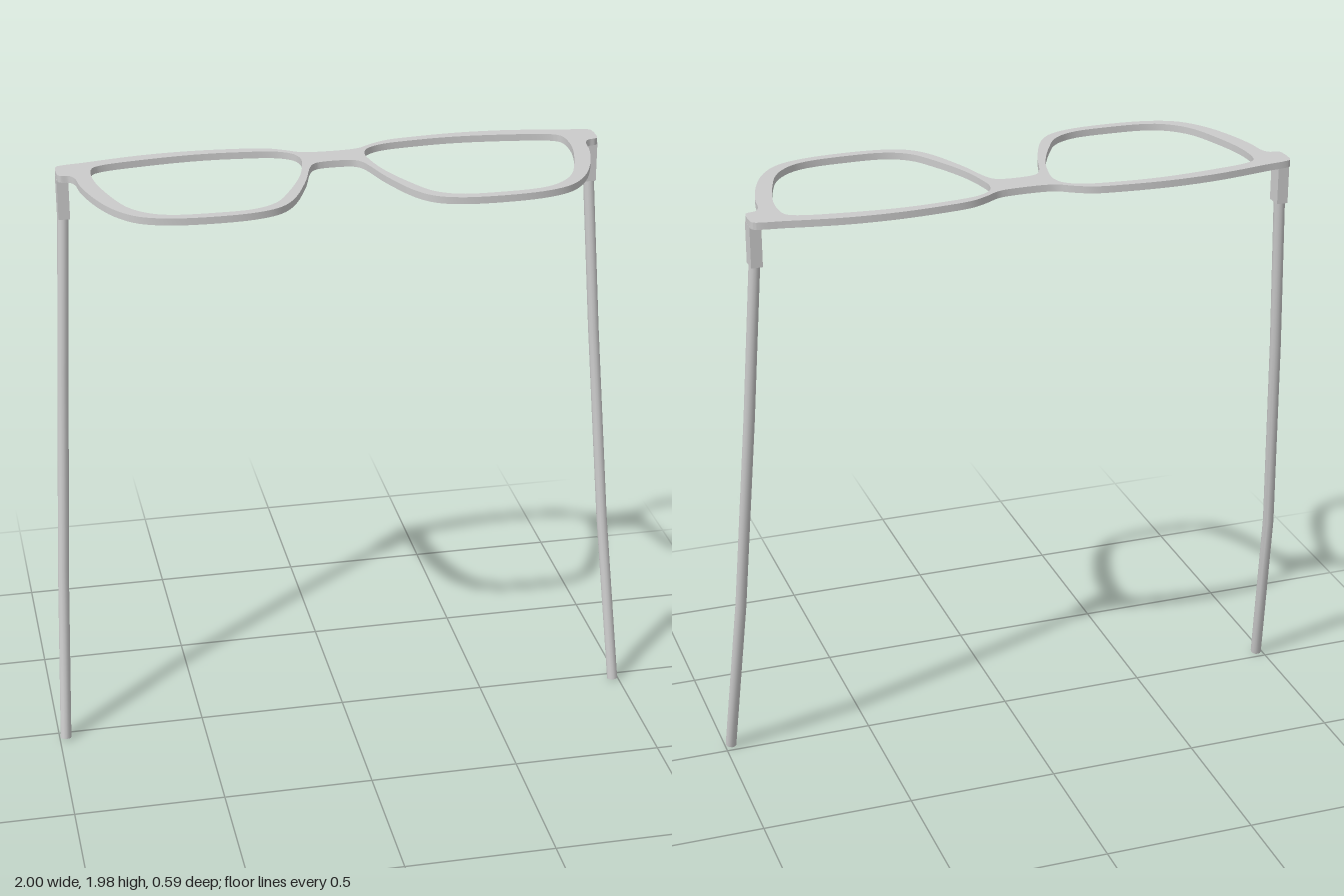
import * as THREE from 'three';
import { toCreasedNormals } from 'three/addons/utils/BufferGeometryUtils.js';

const material = new THREE.MeshStandardMaterial({ color: 0xcccccc });

// Smooth closed loop through [x, z] points
function smoothLoop(points, divisions) {
  const curve = new THREE.CatmullRomCurve3(
    points.map(([x, z]) => new THREE.Vector3(x, z, 0)), true, 'centripetal');
  return curve.getPoints(divisions).slice(0, -1).map((p) => new THREE.Vector2(p.x, p.y));
}

const mirror = (points) => points.map(([x, z]) => [-x, z]).reverse();

// Half of the rim outline, from the bridge's back edge round to its front edge
const halfRim = [
  [0.06, -0.21], [0.1, -0.219], [0.14, -0.245], [0.2, -0.274], [0.3, -0.289], [0.45, -0.298],
  [0.6, -0.291], [0.72, -0.273], [0.8, -0.258], [0.868, -0.248], [0.886, -0.241], [0.892, -0.23],
  [0.892, -0.165], [0.886, -0.154], [0.855, -0.145], [0.841, -0.12], [0.832, -0.05],
  [0.8, 0.07], [0.752, 0.175], [0.69, 0.245], [0.6, 0.281], [0.45, 0.294], [0.32, 0.284],
  [0.245, 0.255], [0.195, 0.2], [0.13, 0.055], [0.085, -0.085], [0.065, -0.107], [0.035, -0.115],
];

// Lens opening
const opening = [
  [0.106, -0.16], [0.122, -0.204], [0.17, -0.236], [0.3, -0.256], [0.44, -0.261], [0.62, -0.245],
  [0.745, -0.222], [0.777, -0.2], [0.786, -0.11], [0.755, 0.04], [0.7, 0.176], [0.615, 0.244],
  [0.44, 0.262], [0.32, 0.252], [0.25, 0.212], [0.2, 0.135], [0.138, 0], [0.112, -0.1],
];

function frontFrame() {
  const shape = new THREE.Shape(smoothLoop([...halfRim, ...mirror(halfRim)], 260));
  for (const hole of [opening, mirror(opening)]) shape.holes.push(new THREE.Path(smoothLoop(hole, 90)));
  const geometry = new THREE.ExtrudeGeometry(shape, { depth: 0.023, bevelEnabled: false });
  geometry.rotateX(Math.PI / 2).translate(0, 1.983, 0);
  const mesh = new THREE.Mesh(toCreasedNormals(geometry, 0.6), material);
  mesh.name = 'frontFrame';
  return mesh;
}

// Temple arm: a rod whose rings are moved onto a bent centre line
function templeArm(side) {
  const rings = [[0.876, 1.86, -0.197], [0.907, 1.3, -0.156], [0.947, 0.6, -0.083], [0.979, 0.005, 0.035]];
  const geometry = new THREE.CylinderGeometry(0.0185, 0.0185, 3, 12, 3);
  const pos = geometry.attributes.position;
  for (let i = 0; i < pos.count; i++) {
    const ring = Math.round(1.5 - pos.getY(i));
    const [cx, cy, cz] = rings[ring];
    const x = pos.getX(i), z = pos.getZ(i);
    const tilt = 0.06 * x * side + [0.07, 0.09, 0.15, 0.2][ring] * z;
    pos.setXYZ(i, cx * side + x, cy + tilt, cz + z);
  }
  const mesh = new THREE.Mesh(toCreasedNormals(geometry, 0.7), material);
  mesh.name = 'templeArm';
  return mesh;
}

// Hinge block joining the frame to the arm
function hinge(side) {
  const mesh = new THREE.Mesh(new THREE.BoxGeometry(0.037, 0.135, 0.056), material);
  mesh.position.set(0.876 * side, 1.896, -0.194);
  mesh.name = 'hingeBlock';
  return mesh;
}

export function createModel() {
  const model = new THREE.Group();
  model.name = 'eyeglasses';
  model.add(frontFrame());
  for (const side of [1, -1]) {
    const temple = new THREE.Group();
    temple.name = side > 0 ? 'leftTemple' : 'rightTemple';
    temple.add(hinge(side), templeArm(side));
    model.add(temple);
  }
  return model;
}
